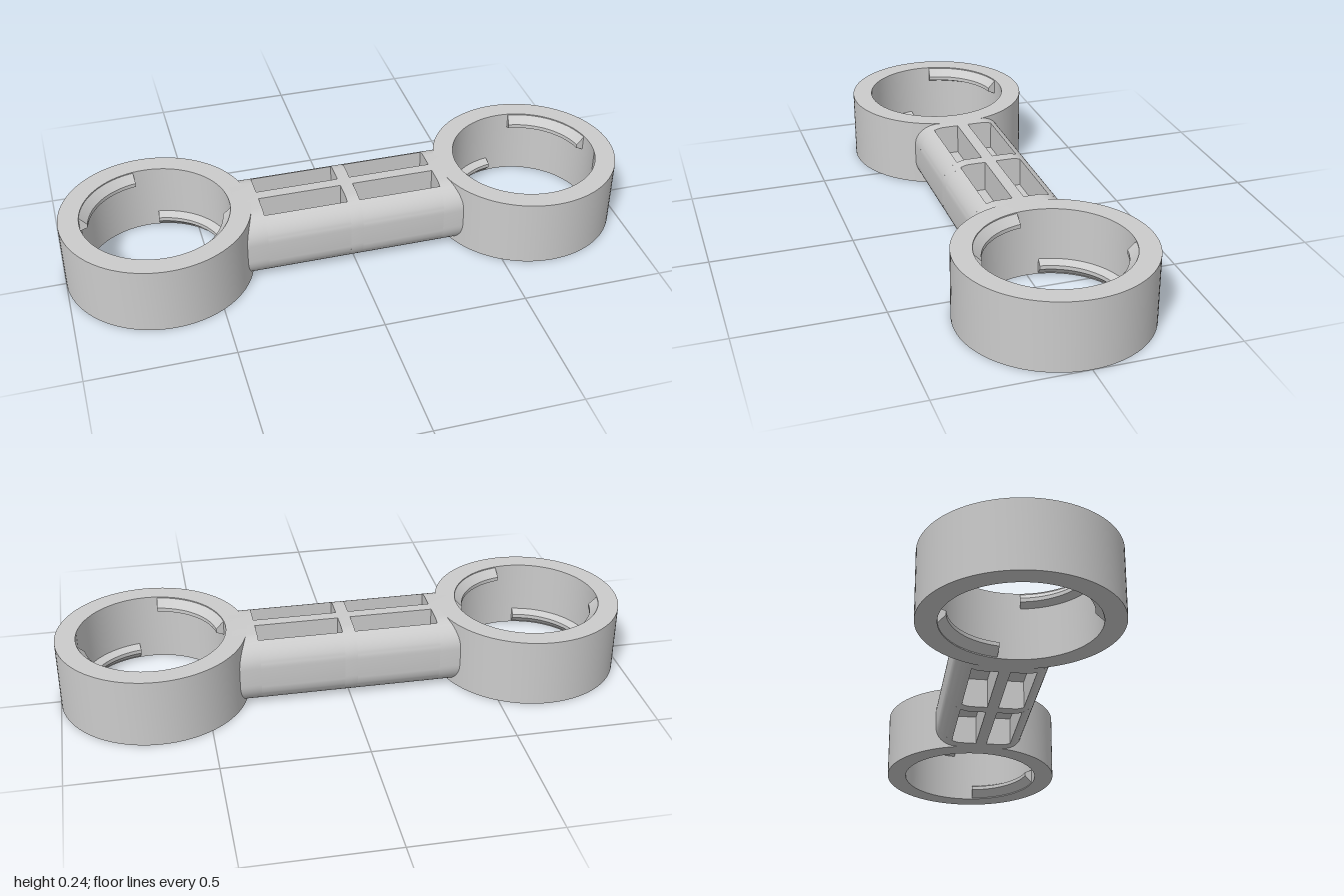
import * as THREE from 'three';
import { toCreasedNormals } from 'three/addons/utils/BufferGeometryUtils.js';

const H = 0.243, CENTRE = 0.672, R_OUT = 0.328, R_IN = 0.257;
const metal = new THREE.MeshStandardMaterial({ color: 0xcccccc });
const thin = new THREE.MeshStandardMaterial({ color: 0xcccccc, side: THREE.DoubleSide });
const v = (x, y) => new THREE.Vector2(x, y);

function addMesh(parent, name, geometry, material = metal) {
  const mesh = new THREE.Mesh(geometry, material);
  mesh.name = name;
  parent.add(mesh);
  return mesh;
}

// Snap lip inside a ring: wedge profile swept over one quadrant, with capped ends
function makeLip(quadrant, atTop) {
  const lip = new THREE.Group();
  lip.name = atTop ? 'upperLip' : 'lowerLip';
  let profile = [v(R_IN + 0.002, H - 0.002), v(0.23, 0.212), v(0.23, 0.198), v(R_IN + 0.002, 0.185)];
  if (!atTop) profile = profile.map((p) => v(p.x, H - p.y)).reverse();
  const gap = 0.15;
  const start = quadrant * Math.PI / 2 + gap;
  const length = Math.PI / 2 - 2 * gap;
  addMesh(lip, 'lipFace', toCreasedNormals(new THREE.LatheGeometry(profile, 20, start, length), 0.4), thin);
  for (const phi of [start, start + length]) {
    const cap = new THREE.ShapeGeometry(new THREE.Shape(profile));
    cap.rotateY(phi - Math.PI / 2);
    addMesh(lip, 'lipEnd', cap, thin);
  }
  return lip;
}

// End ring with four lips alternating between top and bottom edges
function makeRing(side) {
  const ring = new THREE.Group();
  ring.name = side > 0 ? 'leftRing' : 'rightRing';
  const profile = [v(R_IN, 0), v(R_OUT, 0), v(R_OUT, H), v(R_IN, H), v(R_IN, 0)];
  addMesh(ring, 'ringBody', toCreasedNormals(new THREE.LatheGeometry(profile, 96), 0.5));
  for (let q = 0; q < 4; q++) ring.add(makeLip(q, (q % 2 === 0) === (side < 0)));
  ring.position.x = side * CENTRE;
  return ring;
}

// Arm cross-section: rounded bar, optionally hollowed by pockets above and below a web
function armSection(pocketed) {
  const half = H / 2, width = 0.165, r = 0.09;
  const inner = 0.02, outer = 0.11, web = 0.015;
  const end = pocketed ? Math.acos((outer - (width - r)) / r) : Math.PI / 2;
  const quarter = [];
  for (let i = 0; i <= 12; i++) {
    const a = end * i / 12;
    quarter.push(v(width - r + r * Math.cos(a), half - r + r * Math.sin(a)));
  }
  if (pocketed) quarter.push(v(outer, web), v(inner, web), v(inner, half));
  const top = [...quarter, ...quarter.map((p) => v(-p.x, p.y)).reverse()];
  const outline = [...top, ...top.map((p) => v(p.x, -p.y)).reverse()];
  return new THREE.Shape(outline);
}

function addArmPart(arm, name, x0, x1, pocketed) {
  const geo = new THREE.ExtrudeGeometry(armSection(pocketed), { depth: x1 - x0, bevelEnabled: false });
  geo.rotateY(Math.PI / 2);
  geo.translate(x0, H / 2, 0);
  addMesh(arm, name, toCreasedNormals(geo, 0.5));
}

export function createModel() {
  const model = new THREE.Group();
  model.name = 'connectingLink';
  for (const side of [-1, 1]) model.add(makeRing(side));

  // Arm: solid ends and middle rib, pocketed spans between
  const arm = new THREE.Group();
  arm.name = 'arm';
  addArmPart(arm, 'armEnd', -0.4, -0.315, false);
  addArmPart(arm, 'pocketedSpan', -0.315, -0.022, true);
  addArmPart(arm, 'middleRib', -0.022, 0.022, false);
  addArmPart(arm, 'pocketedSpan', 0.022, 0.315, true);
  addArmPart(arm, 'armEnd', 0.315, 0.4, false);
  model.add(arm);
  return model;
}
